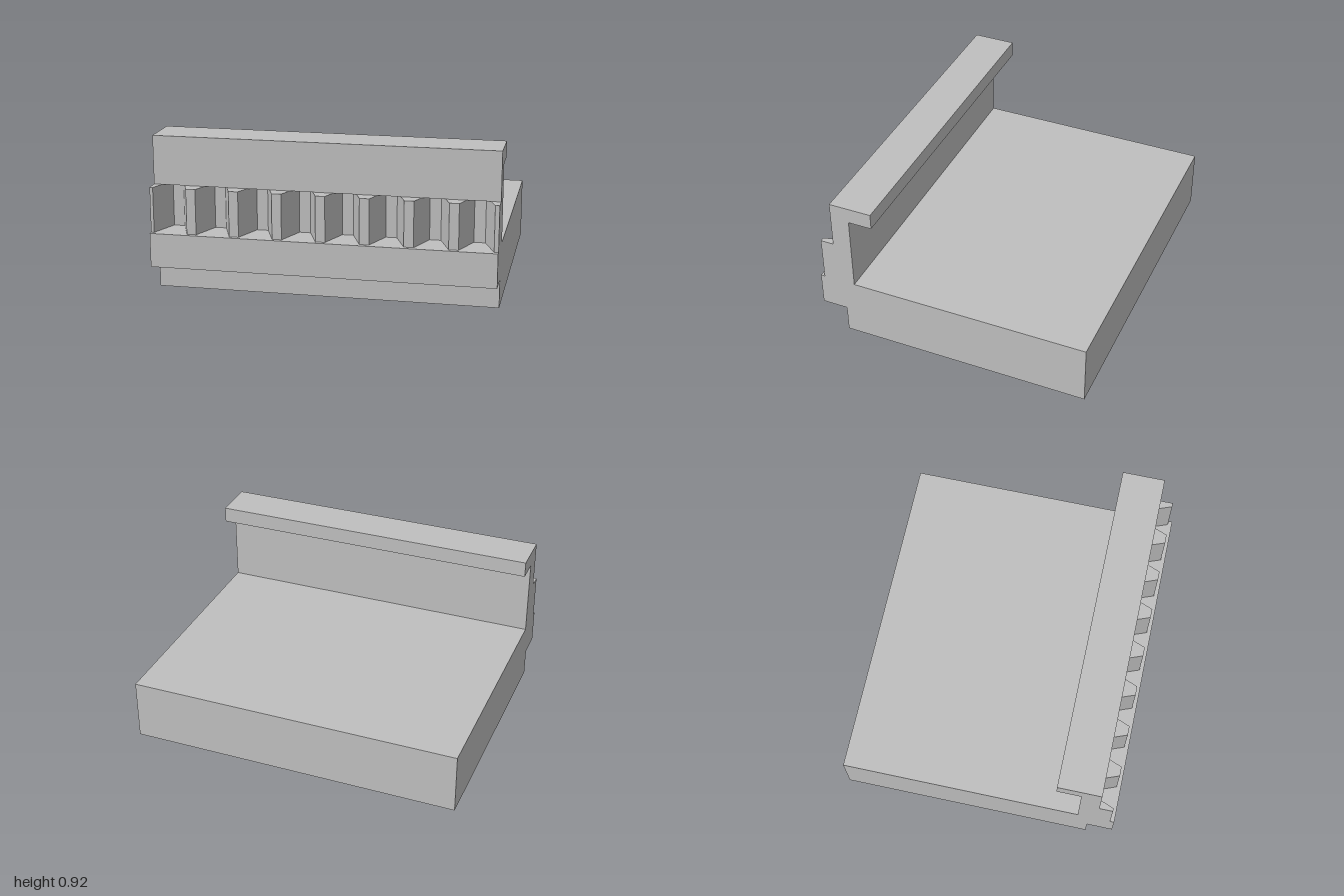
import * as THREE from 'three';

const stone = new THREE.MeshStandardMaterial({ color: 0xbfbfbf });
stone.name = 'light grey';

function polygon(points) {
  return new THREE.Shape(points.map(([a, b]) => new THREE.Vector2(a, b)));
}

// Extrude a (z, y) profile across the full width
function profileMesh(name, points) {
  const geo = new THREE.ExtrudeGeometry(polygon(points), { depth: 2, bevelEnabled: false });
  geo.rotateY(-Math.PI / 2);
  geo.translate(1, 0, 0);
  const mesh = new THREE.Mesh(geo, stone);
  mesh.name = name;
  return mesh;
}

export function createModel() {
  const group = new THREE.Group();
  group.name = 'ledgeWithParapet';
  const slabTop = 0.366, toothTop = 0.633;

  // Floor slab with a stepped front edge
  group.add(profileMesh('floorSlab', [
    [-0.83, 0], [0.675, 0], [0.675, 0.165], [0.83, 0.165], [0.83, slabTop], [-0.83, slabTop],
  ]));

  // Upper wall with the rail lip reaching inward
  group.add(profileMesh('upperWall', [
    [0.61, toothTop], [0.725, toothTop], [0.725, 0.92], [0.467, 0.92], [0.467, 0.825], [0.61, 0.825],
  ]));

  // Toothed band: tapered teeth in front of a recessed wall, drawn in (x, z)
  const pitch = 0.2515, first = -1.009, half = 0.0275, slope = 0.066;
  const back = 0.61, recess = 0.635, front = 0.805;
  const outline = [[1, back], [-1, back], [-1, front]];
  for (let k = 0; k <= 8; k++) {
    const c = first + k * pitch;
    if (k > 0) outline.push([c - half - slope, recess], [c - half, front]);
    if (k < 8) outline.push([c + half, front], [c + half + slope, recess]);
  }
  outline.push([1, front]);
  const band = new THREE.ExtrudeGeometry(polygon(outline), { depth: toothTop - slabTop, bevelEnabled: false });
  band.rotateX(Math.PI / 2);
  band.translate(0, toothTop, 0);
  const teeth = new THREE.Mesh(band, stone);
  teeth.name = 'toothedBand';
  group.add(teeth);

  return group;
}
